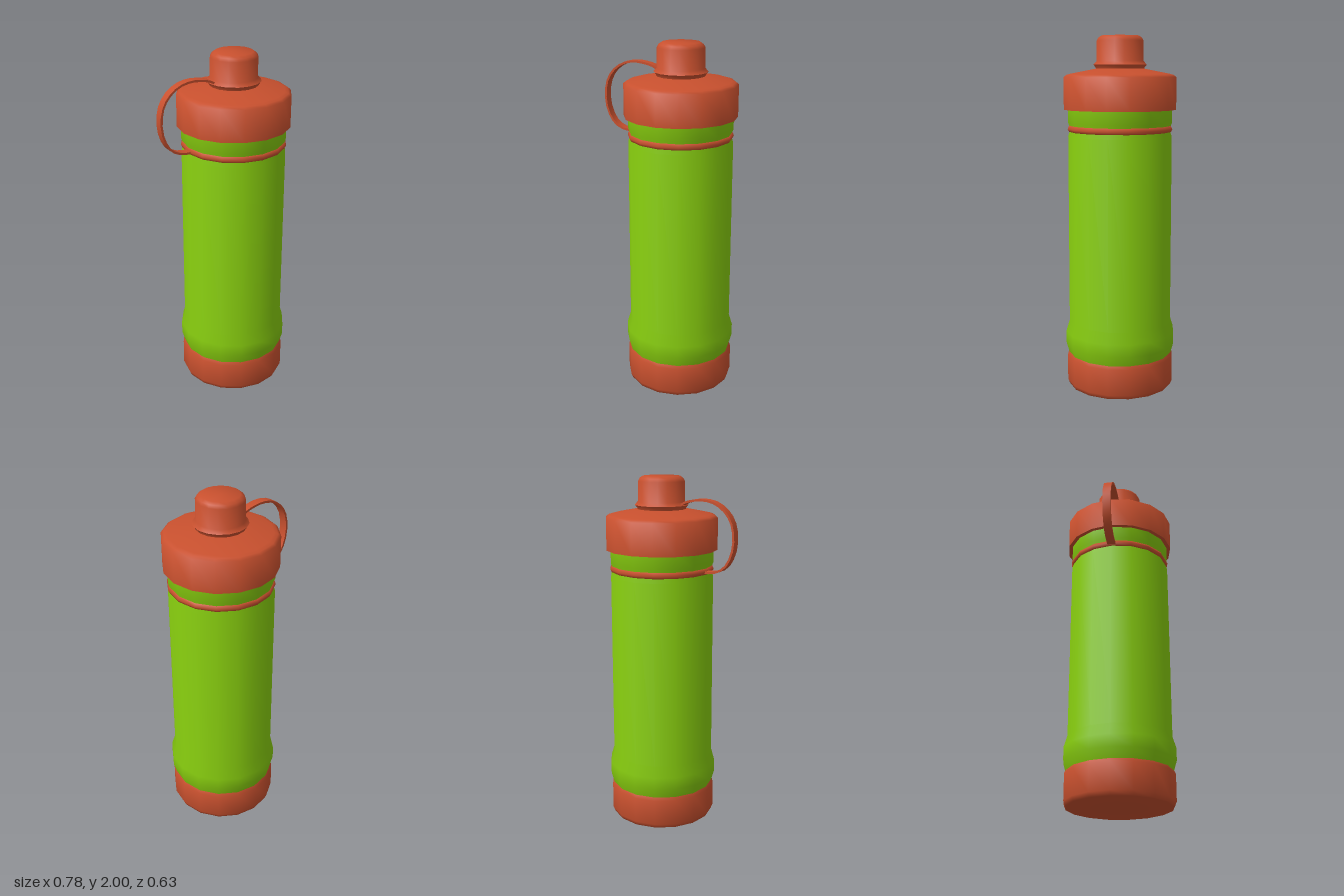
import * as THREE from 'three';
import { toCreasedNormals } from 'three/addons/utils/BufferGeometryUtils.js';

const AXIS_X = 0.075;
const red = new THREE.MeshStandardMaterial({ color: 0xc8502e });
const green = new THREE.MeshStandardMaterial({ color: 0x84c80e });

// Turned part from [radius, height] pairs, listed bottom to top
function turned(name, profile, material) {
  const points = profile.map(([r, y]) => new THREE.Vector2(r, y));
  const mesh = new THREE.Mesh(toCreasedNormals(new THREE.LatheGeometry(points, 16), 1.0), material);
  mesh.name = name;
  mesh.position.x = AXIS_X;
  return mesh;
}

// Flat band following a curve in the xy plane
function band(name, path, thickness, width, material) {
  const curve = new THREE.CatmullRomCurve3(path.map(([x, y]) => new THREE.Vector3(x, y, 0)));
  const outer = [], inner = [], n = 20;
  for (let i = 0; i <= n; i++) {
    const p = curve.getPoint(i / n), t = curve.getTangent(i / n);
    const dx = -t.y * thickness / 2, dy = t.x * thickness / 2;
    outer.push(new THREE.Vector2(p.x + dx, p.y + dy));
    inner.unshift(new THREE.Vector2(p.x - dx, p.y - dy));
  }
  const geometry = new THREE.ExtrudeGeometry(new THREE.Shape([...outer, ...inner]), { depth: width, bevelEnabled: false });
  geometry.translate(0, 0, -width / 2);
  const mesh = new THREE.Mesh(toCreasedNormals(geometry, 0.7), material);
  mesh.name = name;
  return mesh;
}

export function createModel() {
  const group = new THREE.Group();
  group.name = 'bottle';

  group.add(
    // Base cup
    turned('base', [[0, 0.004], [0.29, 0.004], [0.298, 0.006], [0.308, 0.03], [0.308, 0.18], [0.298, 0.2], [0, 0.2]], red),
    // Body with a bulge near the foot and a groove for the strap ring
    turned('body', [
      [0.298, 0.195], [0.315, 0.255], [0.315, 0.325], [0.295, 0.39], [0.293, 1.45],
      [0.284, 1.478], [0.284, 1.502], [0.293, 1.525], [0.293, 1.61],
    ], green),
    // Strap ring
    turned('strapRing', [
      [0.28, 1.473], [0.288, 1.475], [0.296, 1.49], [0.288, 1.508], [0.28, 1.51],
    ], red),
    // Lid with sloping shoulder
    turned('lid', [
      [0, 1.597], [0.316, 1.597], [0.316, 1.775], [0.3, 1.787], [0.28, 1.793], [0.13, 1.822], [0, 1.825],
    ], red),
    // Spout cap with flange
    turned('spoutCap', [
      [0.134, 1.815], [0.138, 1.828], [0.15, 1.843], [0.132, 1.862],
      [0.131, 1.972], [0.122, 1.988], [0.105, 2], [0, 2],
    ], red),
    // Strap loop from the spout cap to the ring
    band('strap', [
      [-0.05, 1.84], [-0.08, 1.86], [-0.13, 1.874], [-0.2, 1.88], [-0.27, 1.865], [-0.33, 1.825], [-0.37, 1.765],
      [-0.385, 1.68], [-0.37, 1.59], [-0.33, 1.524], [-0.27, 1.493], [-0.2, 1.488],
    ], 0.012, 0.048, red),
  );
  return group;
}
